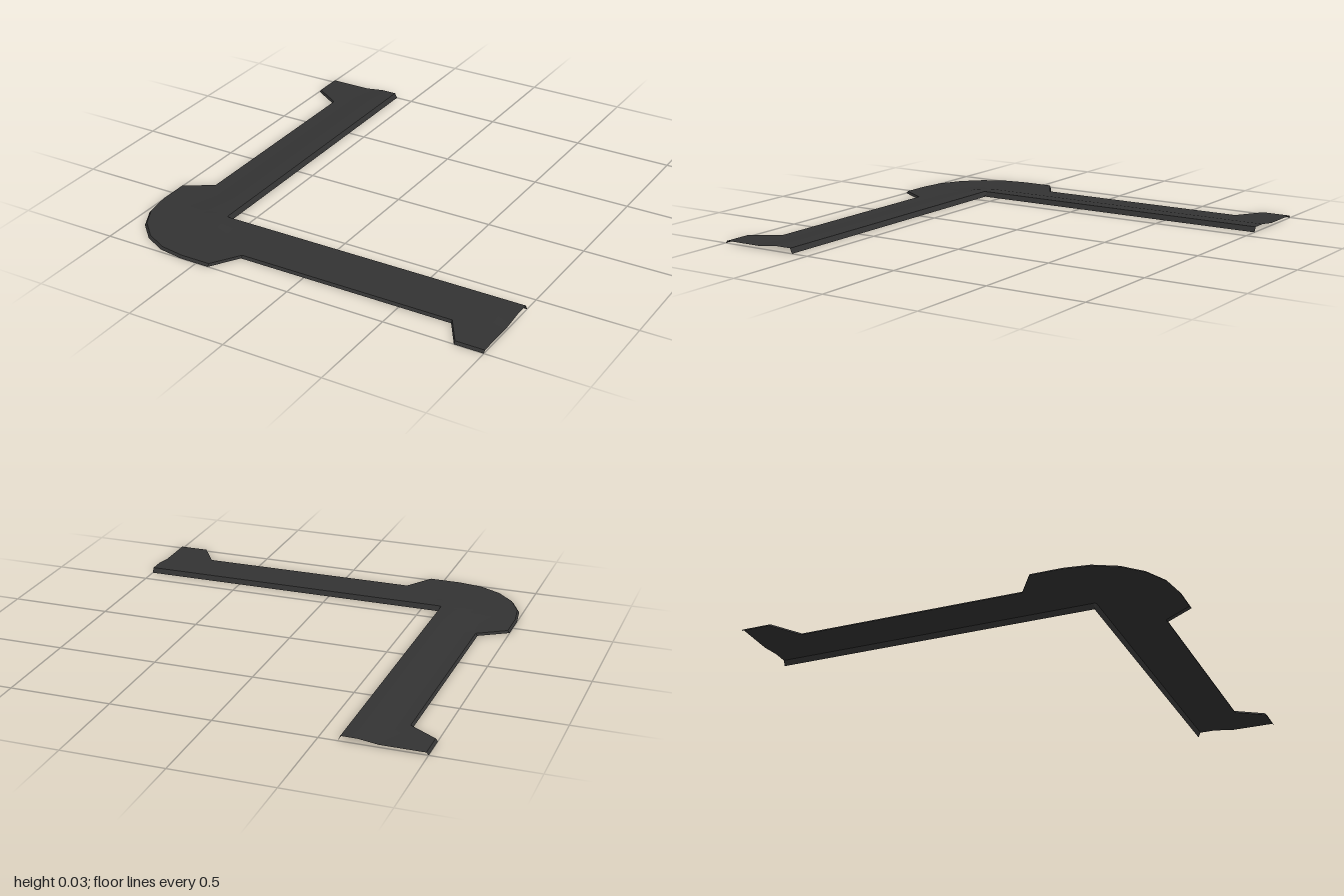
import * as THREE from 'three';
import { toCreasedNormals } from 'three/addons/utils/BufferGeometryUtils.js';

const INNER = 0.59; // inner corner sits at (-INNER, INNER) in x, z
const WIDE = 0.41, NARROW = 0.27;

// Cross-section from inner edge to outer edge: [offset, height]
const section = (w) => [
  [0, 0], [0.012, 0.025], [0.09, 0.025], [0.19, 0.012], [w - 0.01, 0.012], [w, 0],
];

// Skin a strip over stations: inner point (x, z), outward angle, width
function strip(stations) {
  const pos = [], index = [];
  stations.forEach(({ x, z, angle, w }, i) => {
    const pts = section(w), n = pts.length;
    for (const [d, y] of pts) pos.push(x - Math.cos(angle) * d, y, z + Math.sin(angle) * d);
    if (i === 0) return;
    for (let j = 0; j < n - 1; j++) {
      const a = (i - 1) * n + j, b = i * n + j;
      index.push(a, a + 1, b + 1);
      // no second triangle where the inner edge collapses to the corner
      const p = stations[i - 1];
      if (j > 0 || p.x !== x || p.z !== z) index.push(a, b + 1, b);
    }
  });
  const g = new THREE.BufferGeometry();
  g.setAttribute('position', new THREE.Float32BufferAttribute(pos, 3));
  g.setIndex(index);
  return toCreasedNormals(g, 0.6);
}

export function createModel() {
  const model = new THREE.Group();
  model.name = 'cornerTrim';
  const charcoal = new THREE.MeshStandardMaterial({ color: 0x333333, side: THREE.DoubleSide });
  charcoal.name = 'charcoal';

  const add = (name, stations) => {
    const mesh = new THREE.Mesh(strip(stations), charcoal);
    mesh.name = name;
    model.add(mesh);
  };

  // Distance along an arm and width there: wide tab, narrow run, wide tab
  const run = [
    [-1, WIDE], [-0.855, WIDE], [-0.765, NARROW], [0.345, NARROW], [0.435, WIDE], [INNER, WIDE],
  ];
  add('sideArm', run.map(([z, w]) => ({ x: -INNER, z, angle: 0, w })));
  add('frontArm', [...run].reverse().map(([t, w]) => ({ x: -t, z: INNER, angle: Math.PI / 2, w })));

  // Rounded corner fanning about the inner corner
  add('roundedCorner', Array.from({ length: 6 }, (_, i) => (
    { x: -INNER, z: INNER, angle: i * Math.PI / 10, w: WIDE }
  )));

  return model;
}
